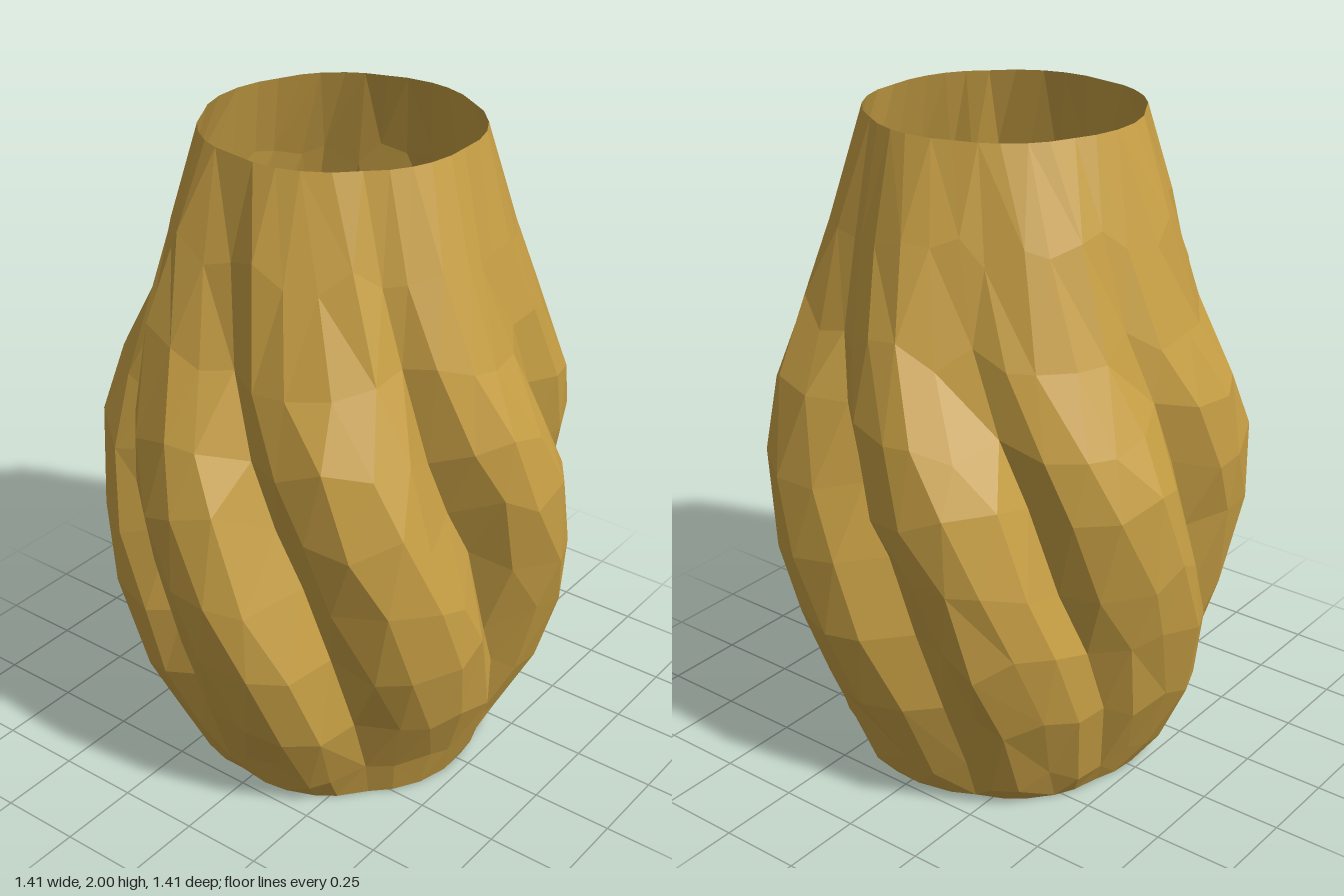
import * as THREE from 'three';

const PER_LOBE = 5;
const DEG = Math.PI / 180;

// Lobes in order round the body: start angle, groove strength, lobe size
const LOBES = [
  [96, 1.1, 1.01], [148.5, 1.3, 1.005], [202, 1.35, 1], [256.5, 1.45, 1],
  [305, 1.2, 1.02], [360, 1.05, 1.025], [408, 1.05, 1.02],
];
const COLS = LOBES.length * PER_LOBE;

// Rows from foot to rim: height, outer radius, groove depth
const ROWS = [
  [0, 0.462, 0.03], [0.1, 0.515, 0.05], [0.34, 0.622, 0.1], [0.58, 0.692, 0.15], [0.8, 0.716, 0.18],
  [1.02, 0.712, 0.18], [1.22, 0.668, 0.15], [1.45, 0.58, 0.1], [1.72, 0.49, 0.06], [2, 0.396, 0.02],
];

function seeded(seed) {
  return () => {
    seed = (seed * 16807) % 2147483647;
    return seed / 2147483647 - 0.5;
  };
}

// Twist at a height in degrees; it eases towards the rim and the foot
const twist = (y) => -38 * (THREE.MathUtils.clamp(y, 0.45, 1.4) - 0.9)
  - 20 * (Math.max(y - 1.4, 0) + Math.min(y - 0.45, 0));

function vaseRings() {
  const rand = seeded(4711);
  return ROWS.map(([y, radius, depth], i) => {
    const edge = i === 0 || i === ROWS.length - 1;
    const ring = [];
    LOBES.forEach(([start, strength, size], n) => {
      const [nextStart, nextStrength, nextSize] = LOBES[(n + 1) % LOBES.length];
      const span = (nextStart - start + 360) % 360;
      const lastSize = LOBES[(n + LOBES.length - 1) % LOBES.length][2];
      for (let s = 0; s < PER_LOBE; s++) {
        const u = s === 0 ? 0 : (s + rand() * 0.4) / PER_LOBE;
        const bulge = Math.pow(Math.sin(u * Math.PI), 0.75);
        const groove = depth * THREE.MathUtils.lerp(strength, nextStrength, u);
        // Neighbouring lobe sizes meet halfway in the groove
        const edgeSize = u < 0.5 ? (lastSize + size) / 2 : (size + nextSize) / 2;
        const scale = THREE.MathUtils.lerp(edgeSize, size, bulge);
        const r = radius * scale * (1 - groove * (1 - bulge)) + (edge ? 0 : rand() * 0.01);
        const a = (start + u * span + twist(y)) * DEG;
        const h = edge ? y : y + rand() * 0.09;
        ring.push(new THREE.Vector3(r * Math.cos(a), h, -r * Math.sin(a)));
      }
    });
    return ring;
  });
}

// Separate triangles give crisp facets
function faceted(triangles) {
  const geometry = new THREE.BufferGeometry().setFromPoints(triangles);
  geometry.computeVertexNormals();
  return geometry;
}

export function createModel() {
  const group = new THREE.Group();
  group.name = 'vase';
  const ochre = new THREE.MeshStandardMaterial({ color: 0xc8a045, side: THREE.DoubleSide });
  ochre.name = 'ochre clay';

  const rings = vaseRings();

  // Twisted, lobed wall, open at the rim
  const wall = [];
  for (let i = 0; i < rings.length - 1; i++) {
    for (let j = 0; j < COLS; j++) {
      const k = (j + 1) % COLS;
      const a = rings[i][j], b = rings[i][k], c = rings[i + 1][k], d = rings[i + 1][j];
      if (a.distanceTo(c) < b.distanceTo(d)) wall.push(a, b, c, a, c, d);
      else wall.push(a, b, d, b, c, d);
    }
  }
  const wallMesh = new THREE.Mesh(faceted(wall), ochre);
  wallMesh.name = 'lobedWall';

  // Flat floor closing the foot
  const floor = [];
  const centre = new THREE.Vector3(0, 0, 0);
  rings[0].forEach((p, j) => floor.push(centre, rings[0][(j + 1) % COLS], p));
  const floorMesh = new THREE.Mesh(faceted(floor), ochre);
  floorMesh.name = 'floor';

  group.add(wallMesh, floorMesh);
  return group;
}
